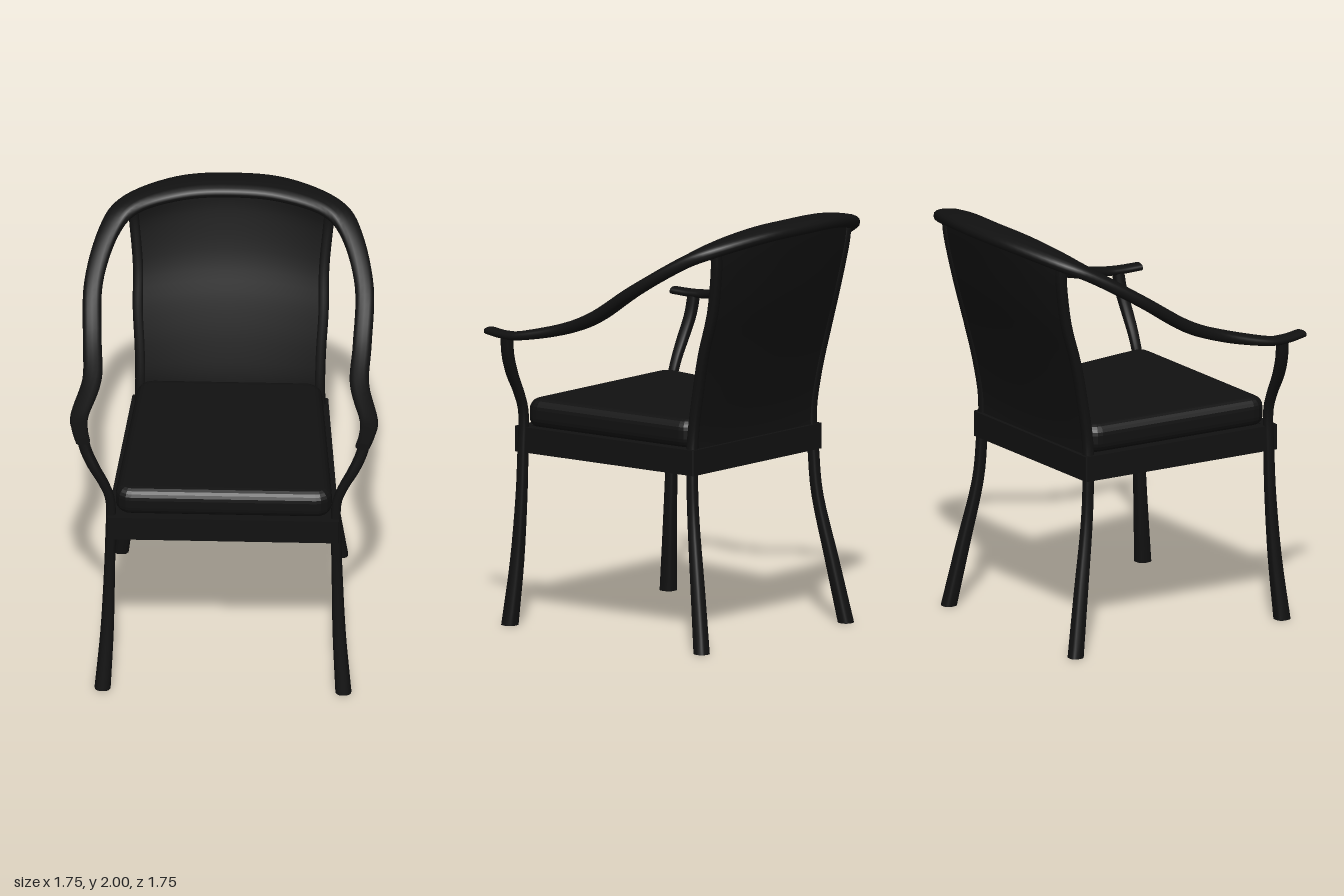
import * as THREE from 'three';

const SIDES = 16;
const material = new THREE.MeshStandardMaterial({ color: 0x111111 });

// Station: [x, y, z, width, height]; both curves share the same parameter.
function curves(stations) {
  const make = (f) => new THREE.CatmullRomCurve3(stations.map(f), false, 'catmullrom', 0.5);
  return {
    path: make((s) => new THREE.Vector3(s[0], s[1], s[2])),
    size: make((s) => new THREE.Vector3(s[3], s[4] ?? s[3], 0)),
  };
}

// Sweeps a rounded section; "upright" keeps every ring horizontal.
function sweep(stations, steps, upright) {
  const { path, size } = curves(stations);
  const pos = [], index = [];
  const e = 2 / 2.6;
  const pow = (c) => Math.sign(c) * Math.abs(c) ** e;
  for (let i = 0; i <= steps; i++) {
    const t = i / steps, p = path.getPoint(t), d = size.getPoint(t);
    let s = new THREE.Vector3(0, 0, 1), u = new THREE.Vector3(1, 0, 0);
    if (!upright) {
      const dir = path.getTangent(t);
      s = new THREE.Vector3(0, 1, 0).cross(dir).normalize();
      u = dir.clone().cross(s);
    }
    for (let j = 0; j < SIDES; j++) {
      const a = (j / SIDES) * Math.PI * 2;
      const q = p.clone().addScaledVector(s, pow(Math.cos(a)) * d.x / 2)
        .addScaledVector(u, pow(Math.sin(a)) * d.y / 2);
      pos.push(q.x, q.y, q.z);
    }
  }
  for (let i = 0; i < steps; i++) {
    for (let j = 0; j < SIDES; j++) {
      const k = (j + 1) % SIDES;
      const a = i * SIDES + j, b = i * SIDES + k, c = b + SIDES, d = a + SIDES;
      index.push(a, b, c, a, c, d);
    }
  }
  // flat end caps on their own vertices
  for (const end of [0, steps]) {
    const base = pos.length / 3;
    for (let j = 0; j < SIDES * 3; j++) pos.push(pos[end * SIDES * 3 + j]);
    for (let j = 1; j < SIDES - 1; j++) {
      if (end) index.push(base, base + j, base + j + 1);
      else index.push(base, base + j + 1, base + j);
    }
  }
  const g = new THREE.BufferGeometry();
  g.setAttribute('position', new THREE.Float32BufferAttribute(pos, 3));
  g.setIndex(index);
  g.computeVertexNormals();
  return g;
}

// Seat outline, wider in front, with rounded corners
function trapezoid(Type, front, back, zFront, zBack, r) {
  const c = [[-front, -zFront], [front, -zFront], [back, -zBack], [-back, -zBack]]
    .map((p) => new THREE.Vector2(...p));
  const s = new Type();
  c.forEach((p, i) => {
    const a = p.clone().add(c[(i + 3) % 4].clone().sub(p).setLength(r));
    const b = p.clone().add(c[(i + 1) % 4].clone().sub(p).setLength(r));
    if (i) s.lineTo(a.x, a.y); else s.moveTo(a.x, a.y);
    s.quadraticCurveTo(p.x, p.y, b.x, b.y);
  });
  s.closePath();
  return s;
}

function slab(shape, y, options) {
  const g = new THREE.ExtrudeGeometry(shape, { bevelEnabled: false, curveSegments: 4, ...options });
  return g.rotateX(-Math.PI / 2).translate(0, y, 0);
}

export function createModel() {
  const model = new THREE.Group();
  model.name = 'armchair';
  const chair = new THREE.Group();
  chair.name = 'chair';
  chair.rotation.y = -Math.PI / 4; // the chair stands diagonally
  model.add(chair);
  const add = (name, geometry) => {
    const mesh = new THREE.Mesh(geometry, material);
    mesh.name = name;
    chair.add(mesh);
  };

  // Posts: front leg runs on into the arm support, back leg into the back stile
  const frontPost = [
    [0.56, 0, 0.49, 0.075], [0.54, 0.3, 0.463, 0.062], [0.53, 0.6, 0.445, 0.052],
    [0.525, 0.82, 0.44, 0.048], [0.525, 1.0, 0.436, 0.045], [0.555, 1.1, 0.436, 0.048],
    [0.605, 1.2, 0.436, 0.054], [0.645, 1.3, 0.428, 0.055], [0.662, 1.4, 0.42, 0.055],
  ];
  const backPost = [
    [0.51, 0, -0.65, 0.07], [0.474, 0.3, -0.594, 0.062], [0.438, 0.6, -0.537, 0.052],
    [0.428, 0.82, -0.52, 0.05], [0.417, 1.0, -0.516, 0.05], [0.42, 1.2, -0.548, 0.05],
    [0.431, 1.4, -0.594, 0.05], [0.432, 1.6, -0.65, 0.05], [0.449, 1.8, -0.688, 0.05],
    [0.458, 1.9, -0.695, 0.05],
  ];
  for (const [side, m] of [['left', 1], ['right', -1]]) {
    const flip = (list) => list.map(([x, ...rest]) => [x * m, ...rest]);
    add(`${side}FrontLegAndArmSupport`, sweep(flip(frontPost), 32, true));
    add(`${side}BackLegAndStile`, sweep(flip(backPost), 36, true));
  }

  // One continuous arm and crest rail, broadest behind the head
  const half = [
    [0.65, 1.402, 0.537, 0.068, 0.034], [0.668, 1.398, 0.43, 0.075, 0.036],
    [0.672, 1.408, 0.318, 0.085, 0.042], [0.622, 1.46, 0.1, 0.09, 0.055],
    [0.628, 1.545, -0.106, 0.088, 0.06], [0.63, 1.7, -0.346, 0.088, 0.058],
    [0.566, 1.84, -0.566, 0.1, 0.06], [0.465, 1.912, -0.69, 0.13, 0.066],
    [0.24, 1.957, -0.765, 0.165, 0.068],
  ];
  const rail = [
    ...half, [0, 1.966, -0.785, 0.17, 0.068],
    ...half.slice().reverse().map(([x, ...rest]) => [-x, ...rest]),
  ];
  add('armAndCrestRail', sweep(rail, 108, false));

  // Apron frame, seat board and cushion
  const frame = trapezoid(THREE.Shape, 0.54, 0.455, 0.48, -0.55, 0.008);
  frame.holes.push(trapezoid(THREE.Path, 0.485, 0.405, 0.425, -0.495, 0.01));
  add('apron', slab(frame, 0.82, { depth: 0.12 }));
  add('seatBoard', slab(trapezoid(THREE.Shape, 0.5, 0.42, 0.44, -0.51, 0.01), 0.9, { depth: 0.035 }));
  add('cushion', slab(trapezoid(THREE.Shape, 0.455, 0.38, 0.405, -0.46, 0.03), 0.98,
    { depth: 0.04, bevelEnabled: true, bevelSize: 0.05, bevelThickness: 0.05, bevelSegments: 5 }));

  // Back panel follows the stiles, bowing backward and arching toward the crest
  const stile = curves(backPost).path;
  const panel = new THREE.BoxGeometry(2, 1, 0.032, 16, 24, 1);
  const p = panel.attributes.position;
  for (let i = 0; i < p.count; i++) {
    const x = p.getX(i), v = p.getY(i) + 0.5;
    const edge = stile.getPoint((3.5 + v * 5.5) / 9);
    const bow = 1 - x * x;
    p.setXYZ(i, x * edge.x, edge.y + 0.055 * bow * v, edge.z - 0.07 * bow * v + p.getZ(i));
  }
  panel.computeVertexNormals();
  add('backPanel', panel);

  return model;
}
